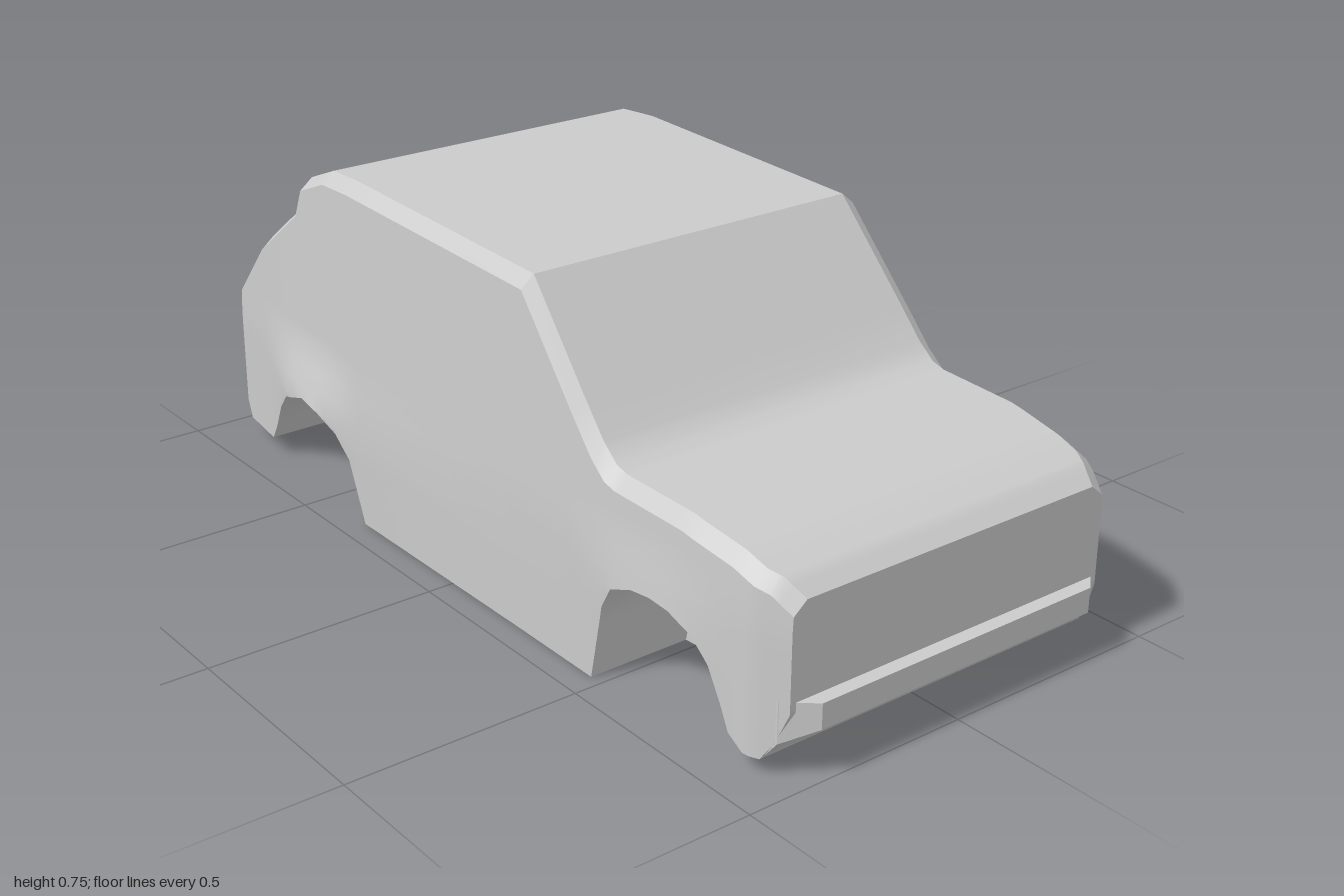
import * as THREE from 'three';
import { toCreasedNormals } from 'three/addons/utils/BufferGeometryUtils.js';

// Profiles along the car, [z, value], from nose to tail
const roofLine = [[0.97, 0.355], [0.93, 0.385], [0.85, 0.41], [0.72, 0.43], [0.53, 0.435], [0.5, 0.443],
  [0.46, 0.475], [0.23, 0.73], [-0.4, 0.75], [-0.5, 0.745], [-0.6, 0.705], [-0.625, 0.64],
  [-0.8, 0.515], [-0.97, 0.335]];
const sillLine = [[0.97, 0.14], [0.945, 0.075], [0.92, 0.035], [0.885, 0.035], [0.85, 0.06], [0.83, 0.11],
  [0.8, 0.175], [0.76, 0.22], [0.7, 0.243], [0.65, 0.248], [0.6, 0.243], [0.54, 0.22], [0.51, 0.17],
  [0.47, 0], [-0.34, 0], [-0.38, 0.14], [-0.42, 0.19], [-0.48, 0.22], [-0.55, 0.23], [-0.64, 0.2],
  [-0.7, 0.15], [-0.75, 0.08], [-0.78, 0.04], [-0.91, 0.04], [-0.94, 0.1], [-0.97, 0.24]];
const floorLine = [[0.97, 0.14], [0.945, 0.075], [0.92, 0.035], [0.885, 0.035], [0.75, 0.02], [0.47, 0],
  [-0.45, 0], [-0.75, 0.08], [-0.78, 0.04], [-0.91, 0.04], [-0.94, 0.1], [-0.97, 0.24]];
const widthLine = [[0.97, 0.388], [0.9, 0.42], [0.75, 0.432], [0.4, 0.44], [-0.4, 0.44], [-0.65, 0.428],
  [-0.8, 0.415], [-0.93, 0.398], [-0.97, 0.365]];

function sample(line, z) {
  for (let i = 1; i < line.length; i++) {
    const [z0, v0] = line[i - 1], [z1, v1] = line[i];
    if (z >= z1) return v0 + (v1 - v0) * (z0 - z) / (z0 - z1);
  }
  return line[line.length - 1][1];
}

const clamp = THREE.MathUtils.clamp;
const bell = (z, centre, reach) => {
  const t = clamp(Math.abs(z - centre) / reach, 0, 1);
  return (1 - t * t) ** 2;
};

// Half width of the side at a given height, with the swelling fenders
function halfWidth(z, y) {
  const swell = y > 0.22 ? clamp(1 - (y - 0.22) / 0.12, 0, 1) : 0.35 + 0.65 * y / 0.22;
  const fender = 0.036 * bell(z, -0.54, 0.27) + 0.014 * bell(z, 0.62, 0.26);
  return sample(widthLine, z) - 0.022 * clamp((y - 0.3) / 0.42, 0, 1) + fender * swell;
}

// Right half of the body section: roof, chamfer, side, wheel well, floor
function bodySection(z) {
  const top = sample(roofLine, z), sill = sample(sillLine, z), floor = sample(floorLine, z);
  const shoulder = top - 0.025, wellX = 0.21;
  const half = [[0, top], [halfWidth(z, shoulder) - 0.03, top]];
  for (const level of [shoulder, 0.6, 0.45, 0.38, 0.34, 0.3, 0.26, 0.22, 0.15, 0.08, sill]) {
    const y = clamp(level, sill, shoulder);
    half.push([halfWidth(z, y), y]);
  }
  half.push([wellX, sill], [wellX, floor], [0, floor]);
  return { z, half };
}

// Skins mirrored half sections, ordered from +z to -z, and caps both ends
function loft(sections, crease) {
  const pos = [];
  const tri = (a, b, c) => {
    const n = new THREE.Vector3().subVectors(b, a).cross(new THREE.Vector3().subVectors(c, a));
    if (n.length() > 1e-9) for (const p of [a, b, c]) pos.push(p.x, p.y, p.z);
  };
  const quad = (a, b, c, d) => { tri(a, b, c); tri(a, c, d); };
  const rings = sections.map(({ z, half }) => [
    ...half.map(([x, y]) => new THREE.Vector3(x, y, z)),
    ...[...half].reverse().map(([x, y]) => new THREE.Vector3(-x, y, z)),
  ]);
  const n = rings[0].length;
  for (let i = 0; i + 1 < rings.length; i++) {
    const p = rings[i], q = rings[i + 1];
    for (let j = 0; j < n; j++) {
      const k = (j + 1) % n;
      quad(p[j], p[k], q[k], q[j]);
    }
  }
  const first = rings[0], last = rings[rings.length - 1];
  for (let j = 0; j + 1 < n / 2; j++) {
    quad(first[n - 1 - j], first[n - 2 - j], first[j + 1], first[j]);
    quad(last[j], last[j + 1], last[n - 2 - j], last[n - 1 - j]);
  }
  const geometry = new THREE.BufferGeometry();
  geometry.setAttribute('position', new THREE.Float32BufferAttribute(pos, 3));
  return toCreasedNormals(geometry, crease);
}

// Rectangular half section for the bumpers
const barSection = ([z, x, low, high]) => ({ z, half: [[0, high], [x, high], [x, low], [0, low]] });

export function createModel() {
  const group = new THREE.Group();
  const material = new THREE.MeshStandardMaterial({ color: 0xcccccc });
  const add = (name, geometry) => {
    const mesh = new THREE.Mesh(geometry, material);
    mesh.name = name;
    group.add(mesh);
  };

  // Body shell, with a section at every profile point
  const stations = [...new Set([roofLine, sillLine, floorLine, widthLine].flat().map((p) => p[0]))];
  stations.sort((a, b) => b - a);
  add('bodyShell', loft(stations.map(bodySection), 0.5));

  // Bumpers, tapered in plan and undercut below
  add('frontBumper', loft([
    [1, 0.34, 0.107, 0.16], [0.95, 0.398, 0.075, 0.16], [0.92, 0.405, 0.036, 0.16],
  ].map(barSection), 0.4));
  add('rearBumper', loft([
    [-0.92, 0.385, 0.045, 0.145], [-0.945, 0.37, 0.085, 0.145], [-1, 0.31, 0.102, 0.145],
  ].map(barSection), 0.4));

  return group;
}
